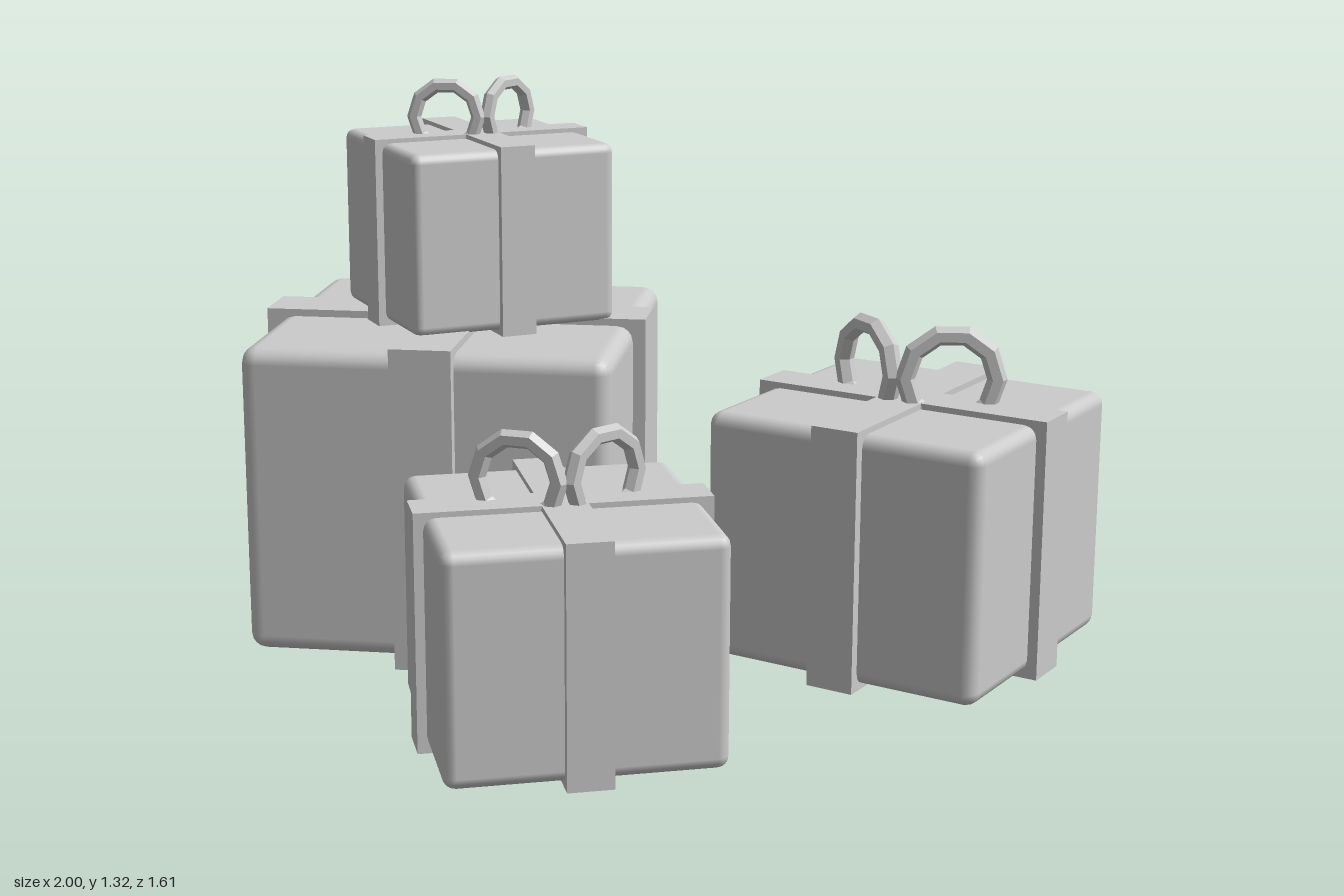
import * as THREE from 'three';
import { RoundedBoxGeometry } from 'three/addons/geometries/RoundedBoxGeometry.js';

const smooth = new THREE.MeshStandardMaterial({ color: 0xcccccc });
const faceted = new THREE.MeshStandardMaterial({ color: 0xcccccc, flatShading: true });
const rad = THREE.MathUtils.degToRad;

function add(parent, name, geometry, material, x, y, z) {
  const mesh = new THREE.Mesh(geometry, material);
  mesh.name = name;
  mesh.position.set(x, y, z);
  parent.add(mesh);
  return mesh;
}

// One wrapped gift; every dimension scales with the side length s
function gift(name, s, x, y, z, angle, hasBow) {
  const g = new THREE.Group();
  g.name = name;
  g.position.set(x, y, z);
  g.rotation.y = rad(angle);
  const h = 0.885 * s;

  // Softly rounded box
  add(g, 'box', new RoundedBoxGeometry(s, 0.845 * s, s, 2, 0.045 * s), smooth, 0, h / 2, 0);

  // Two crossing bands that wrap all the way round
  const length = 1.07 * s, width = s / 6;
  add(g, 'ribbonAcross', new THREE.BoxGeometry(length, h, width), faceted, 0, h / 2, 0);
  add(g, 'ribbonAlong', new THREE.BoxGeometry(width, h, length), faceted, 0, h / 2, 0);

  // Two upright loops meeting in a V
  if (hasBow) {
    for (const side of [-1, 1]) {
      const loop = add(g, side < 0 ? 'rightBowLoop' : 'leftBowLoop',
        new THREE.TorusGeometry(0.153 * s, 0.034 * s, 6, 10), faceted,
        side * 0.155 * s, h + 0.08 * s, 0.01 * s);
      loop.rotation.y = side * rad(30);
    }
  }
  return g;
}

export function createModel() {
  const model = new THREE.Group();
  model.name = 'giftPile';
  model.add(
    gift('largeGift', 0.86, -0.505, 0, -0.32, 10, false),
    gift('stackedGift', 0.5, -0.467, 0.745, -0.345, 42, true),
    gift('frontGift', 0.6, 0.005, 0, 0.4, 30, true),
    gift('sideGift', 0.69, 0.585, 0, -0.395, -15, true),
  );
  return model;
}
